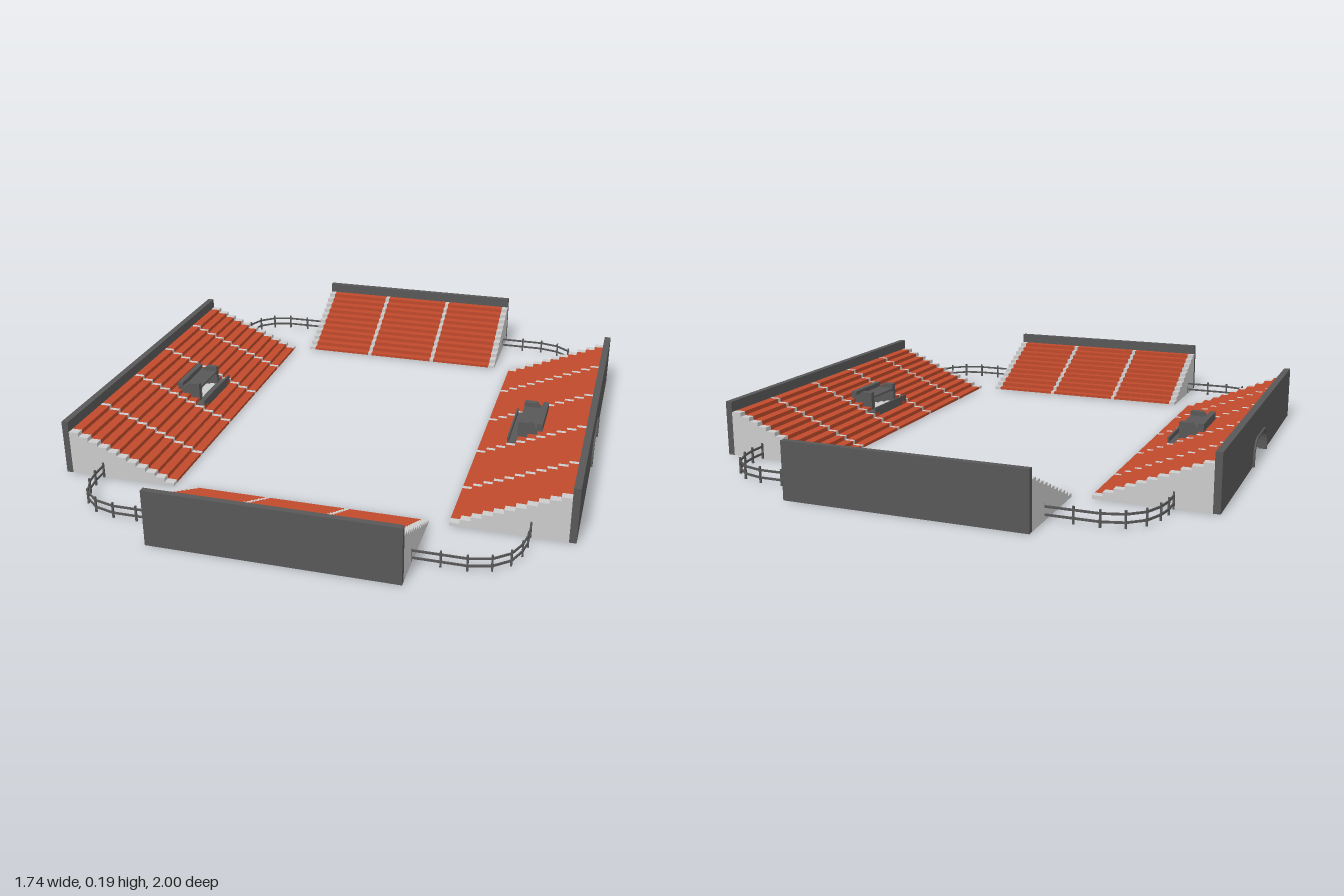
import * as THREE from 'three';

const paint = (color) => new THREE.MeshStandardMaterial({ color, flatShading: true, side: THREE.DoubleSide });
const red = paint(0xc04a2c), dark = paint(0x585858), light = paint(0xcccccc);

function add(parent, name, geometry, material) {
  const mesh = new THREE.Mesh(geometry, material);
  mesh.name = name;
  parent.add(mesh);
  return mesh;
}

// Box given by its limits on each axis
function block(parent, name, [x0, x1], [y0, y1], [z0, z1], material) {
  const mesh = add(parent, name, new THREE.BoxGeometry(x1 - x0, y1 - y0, z1 - z0), material);
  mesh.position.set((x0 + x1) / 2, (y0 + y1) / 2, (z0 + z1) / 2);
  return mesh;
}

// Surface through a list of equally long point rows
function loft(rows) {
  const n = rows[0].length, index = [];
  for (let i = 0; i < rows.length - 1; i++)
    for (let j = 0; j < n - 1; j++) {
      const a = i * n + j, b = a + n;
      index.push(a, b, a + 1, a + 1, b, b + 1);
    }
  const g = new THREE.BufferGeometry();
  g.setAttribute('position', new THREE.Float32BufferAttribute(rows.flat(2), 3));
  g.setIndex(index);
  g.computeVertexNormals();
  return g;
}

// Flat-topped arch with rounded shoulders, as [across, height] pairs
function arch(half, y0, y1, shoulder = 0.055) {
  const pts = [[-half, y0]], k = Math.min(shoulder, (y1 - y0) * 0.7);
  for (let s = 0; s < 2; s++)
    for (let i = 0; i <= 6; i++) {
      const a = (s * 6 + i) / 12 * Math.PI;
      pts.push([(s ? 1 : -1) * (half - k) - k * Math.cos(a), y1 - k + k * Math.sin(a)]);
    }
  pts.push([half, y0]);
  return pts;
}

const toShape = (pts) => new THREE.Shape(pts.map(([x, y]) => new THREE.Vector2(x, y)));

// Slab cut from a [across, height] outline, standing across x
function upright(parent, name, pts, x, thickness, material) {
  const g = new THREE.ExtrudeGeometry(toShape(pts), { depth: thickness, bevelEnabled: false });
  g.rotateY(Math.PI / 2);
  add(parent, name, g, material).position.x = x;
}

// Stepped profile covering rows r0 up to r1
function stepLine(s, r0, r1) {
  const run = (s.back - s.front) / s.rows, rise = 0.142 / (s.rows - 1), pts = [];
  for (let i = r0; i < r1; i++) {
    const x = s.front + i * run, y = 0.012 + i * rise;
    pts.push([x, i ? y - rise : 0.002], [x, y], [x + run, y]);
  }
  return pts;
}

function terrace(parent, name, s, z0, z1, material, r0 = 0, r1 = s.rows) {
  add(parent, name, loft(stepLine(s, r0, r1).map(([x, y]) => [[x, y, z1], [x, y, z0]])), material);
}

// Entrance tunnel, its stairs and the hooded exit among the seats
function portal(stand, s) {
  const tunnel = new THREE.Group();
  tunnel.name = 'tunnel';
  stand.add(tunnel);
  const ring = [...arch(0.125, 0, 0.092, 0.06), ...arch(0.115, 0, 0.085).reverse()];
  upright(tunnel, 'tunnelFrame', ring, s.out, 0.006, dark);
  const rows = [[s.out, arch(0.115, 0, 0.085)], [0.6, arch(0.075, 0.05, 0.103, 0.012)]];
  add(tunnel, 'tunnelVault', loft(rows.map(([x, pts]) => pts.map(([z, y]) => [x, y, z]))), dark);

  const steps = 8, run = 0.24 / steps;
  for (let i = 0; i < steps; i++) {
    const x = 0.84 - i * run, top = 0.007 * (i + 1), half = 0.095 - 0.0025 * i;
    block(tunnel, 'tunnelStep', [x - run, x], [top - 0.007, top], [-half, half], light);
  }

  const hood = new THREE.Group();
  hood.name = 'exitHood';
  stand.add(hood);
  block(hood, 'landing', [0.572, 0.606], [0.05, 0.058], [-0.125, 0.125], dark);
  block(hood, 'landingBarrier', [0.57, 0.576], [0.035, 0.075], [-0.125, 0.125], dark);
  block(hood, 'hoodRoof', [0.602, 0.67], [0.1, 0.108], [-0.08, 0.08], dark);
  block(hood, 'hoodBack', [0.668, 0.688], [0.07, 0.125], [-0.095, 0.095], dark);
  const side = [[0.602, 0.045], [0.602, 0.125], [0.645, 0.125], [0.66, 0.11], [0.67, 0.11], [0.67, 0.06]];
  for (const z of [-0.095, 0.075]) {
    const g = new THREE.ExtrudeGeometry(toShape(side), { depth: 0.02, bevelEnabled: false });
    add(hood, 'hoodSide', g, dark).position.z = z;
  }
}

function makeStand(name, s) {
  const stand = new THREE.Group();
  stand.name = name;

  // Back wall, notched where the tunnel passes
  const notch = s.portal ? arch(0.115, 0, 0.085) : [];
  const wall = [[-s.half, 0], ...notch, [s.half, 0], [s.half, 0.19], [-s.half, 0.19]];
  upright(stand, 'backWall', wall, s.back, s.out - s.back, dark);

  // Stepped end panels with pale border stairs
  const panel = toShape([[s.front, 0], ...stepLine(s, 0, s.rows), [s.back, 0]]);
  for (const m of [-1, 1]) {
    const g = new THREE.ExtrudeGeometry(panel, { depth: 0.004, bevelEnabled: false });
    add(stand, 'endPanel', g, light).position.z = m > 0 ? s.half - 0.004 : -s.half;
    const [a, b] = [m * s.half, m * (s.half - s.edge)].sort((p, q) => p - q);
    terrace(stand, 'borderStairs', s, a, b, light);
  }

  // Seat blocks separated by narrow aisles
  let z = -s.half + s.edge;
  for (const aisle of [...s.aisles, null]) {
    const end = aisle === null ? s.half - s.edge : aisle - 0.0075;
    if (s.portal && z < 0 && end > 0) {
      terrace(stand, 'seatRows', s, z, end, red, 0, 3);
      terrace(stand, 'seatRows', s, z, -0.09, red, 3, 6);
      terrace(stand, 'seatRows', s, 0.09, end, red, 3, 6);
      terrace(stand, 'seatRows', s, z, end, red, 6);
    } else terrace(stand, 'seatRows', s, z, end, red);
    if (aisle !== null) {
      z = aisle + 0.0075;
      terrace(stand, 'aisle', s, end, z, light);
    }
  }
  if (s.portal) portal(stand, s);
  return stand;
}

// Corner fence: posts joined by two rails
function makeFence(sx, sz) {
  const fence = new THREE.Group();
  fence.name = 'cornerFence';
  const nodes = [[0.4, 0.877], [0.49, 0.877], [0.57, 0.877], [0.64, 0.858], [0.69, 0.815],
    [0.715, 0.755], [0.724, 0.7], [0.724, 0.642]].map(([x, z]) => [x * sx, z * sz]);
  nodes.forEach(([x, z], i) => {
    block(fence, 'fencePost', [x - 0.003, x + 0.003], [0, 0.055], [z - 0.003, z + 0.003], dark);
    if (!i) return;
    const [px, pz] = nodes[i - 1];
    for (const y of [0.018, 0.043]) {
      const g = new THREE.BoxGeometry(0.004, 0.007, Math.hypot(x - px, z - pz));
      const rail = add(fence, 'fenceRail', g, dark);
      rail.position.set((x + px) / 2, y, (z + pz) / 2);
      rail.rotation.y = Math.atan2(x - px, z - pz);
    }
  });
  return fence;
}

export function createModel() {
  const model = new THREE.Group();
  model.name = 'stadium';
  const sideStand = { front: 0.468, back: 0.842, out: 0.865, half: 0.64, edge: 0.028, rows: 11,
    aisles: [-0.405, -0.135, 0.135, 0.405], portal: true };
  const endStand = { front: 0.645, back: 0.98, out: 1, half: 0.403, edge: 0.024, rows: 11,
    aisles: [-0.135, 0.135], portal: false };
  ['leftStand', 'backStand', 'rightStand', 'frontStand'].forEach((name, i) => {
    const stand = makeStand(name, i % 2 ? endStand : sideStand);
    stand.rotation.y = i * Math.PI / 2;
    model.add(stand);
  });
  for (const sx of [-1, 1]) for (const sz of [-1, 1]) model.add(makeFence(sx, sz));
  return model;
}
